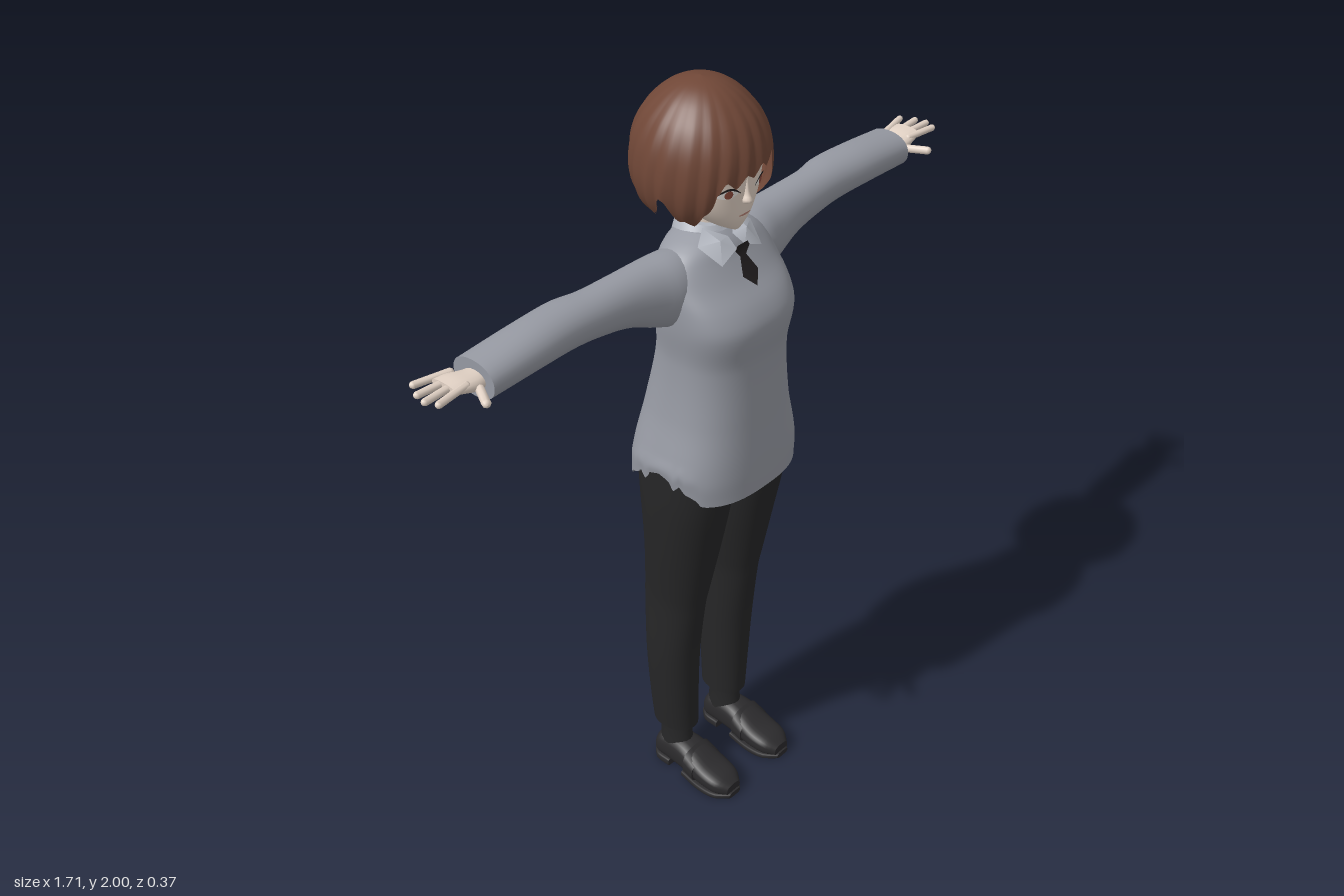
import * as THREE from 'three';

const mat = (name, color, side = THREE.FrontSide) =>
  Object.assign(new THREE.MeshStandardMaterial({ color, side }), { name });

// Smooth interpolation through rows of [key, ...values] with rising keys
function sampler(rows) {
  const slope = (i, c) => {
    const a = rows[Math.max(i - 1, 0)], b = rows[Math.min(i + 1, rows.length - 1)];
    return (b[c] - a[c]) / (b[0] - a[0]);
  };
  return k => {
    let i = 0;
    while (i < rows.length - 2 && k > rows[i + 1][0]) i++;
    const p = rows[i], q = rows[i + 1], h = q[0] - p[0];
    const t = Math.min(1, Math.max(0, (k - p[0]) / h)), t2 = t * t, t3 = t2 * t;
    return p.slice(1).map((v, n) => v * (2 * t3 - 3 * t2 + 1) + q[n + 1] * (3 * t2 - 2 * t3)
      + h * (slope(i, n + 1) * (t3 - 2 * t2 + t) + slope(i + 1, n + 1) * (t3 - t2)));
  };
}

// Indexed surface from fn(row, column) -> [x, y, z]
function grid(rows, cols, fn, closed = true) {
  const pos = [], index = [], span = closed ? cols : cols - 1;
  for (let i = 0; i < rows; i++) for (let j = 0; j < cols; j++) pos.push(...fn(i, j));
  for (let i = 0; i < rows - 1; i++) for (let j = 0; j < span; j++) {
    const a = i * cols + j, c = i * cols + (j + 1) % cols;
    index.push(a, a + cols, c, c, a + cols, c + cols);
  }
  const g = new THREE.BufferGeometry();
  g.setAttribute('position', new THREE.Float32BufferAttribute(pos, 3));
  g.setIndex(index);
  g.computeVertexNormals();
  return g;
}

const place = { y: (k, a, b) => [a, k, b], x: (k, a, b) => [k, b, a], z: (k, a, b) => [b, a, k] };
const power = (v, n) => Math.sign(v) * Math.abs(v) ** (2 / n);

// Capped tube of rounded sections; rows are [key, aMin, aMax, bMin, bMax, roundness]
function loft(axis, rows, steps = 24, cols = 32, move = p => p) {
  const s = sampler(rows), k0 = rows[0][0], k1 = rows[rows.length - 1][0];
  const keys = [k0, k0];
  for (let i = 0; i <= steps; i++) keys.push(k0 + (k1 - k0) * i / steps);
  keys.push(k1, k1);
  return grid(keys.length, cols, (i, j) => {
    const [a0, a1, b0, b1, n] = s(keys[i]), w = j / cols * Math.PI * 2;
    const r = i === 0 || i === keys.length - 1 ? 0 : 0.5;
    return move(place[axis](keys[i], (a0 + a1) / 2 + r * (a1 - a0) * power(Math.cos(w), n),
      (b0 + b1) / 2 + r * (b1 - b0) * power(Math.sin(w), n)));
  });
}

// Front surface depth of an upright loft
function frontZ(s, x, y) {
  const [a0, a1, b0, b1, n] = s(y);
  const u = Math.min(1, Math.abs((x - (a0 + a1) / 2) / ((a1 - a0) / 2)));
  return (b0 + b1) / 2 + (b1 - b0) / 2 * (1 - u ** n) ** (1 / n);
}

function mirrored(geometry) {
  const g = geometry.clone().scale(-1, 1, 1), id = g.index.array;
  for (let i = 0; i < id.length; i += 3) [id[i], id[i + 1]] = [id[i + 1], id[i]];
  g.computeVertexNormals();
  return g;
}

const headRows = [
  [1.663, -.012, .012, .05, .09, 2], [1.675, -.034, .034, .015, .098, 2], [1.7, -.066, .066, -.03, .107, 2.1],
  [1.74, -.094, .094, -.06, .112, 2.2], [1.79, -.108, .108, -.08, .116, 2.3], [1.86, -.115, .115, -.1, .12, 2.2],
  [1.92, -.1, .1, -.1, .085, 2], [1.965, -.05, .05, -.06, .03, 2]];
const torsoRows = [
  [1.0, -.197, .197, -.152, .187, 2.7], [1.06, -.2, .2, -.145, .186, 2.7], [1.2, -.168, .168, -.12, .18, 2.6],
  [1.35, -.155, .155, -.09, .178, 2.5], [1.45, -.166, .166, -.08, .188, 2.6], [1.5, -.168, .168, -.076, .168, 2.5],
  [1.55, -.166, .166, -.074, .126, 2.4], [1.6, -.152, .152, -.072, .092, 2.3], [1.63, -.115, .115, -.07, .076, 2.2],
  [1.65, -.065, .065, -.062, .055, 2]];

export function createModel() {
  const skin = mat('skin', 0xe3d3c6), wool = mat('grey wool', 0x9699a2), cloth = mat('black cloth', 0x262627);
  const leather = mat('shoe leather', 0x2b2a2c), shirt = mat('shirt', 0xb0b4bd, THREE.DoubleSide);
  const hair = mat('brown hair', 0x704737, THREE.DoubleSide), white = mat('eye white', 0xf2eeea, THREE.DoubleSide);
  const iris = mat('iris', 0x8a4a3c, THREE.DoubleSide), dark = mat('lash and tie', 0x211d1e, THREE.DoubleSide);
  const lip = mat('lip', 0xb98578, THREE.DoubleSide);

  const model = new THREE.Group();
  const add = (name, g, m) => {
    const mesh = new THREE.Mesh(g, m);
    mesh.name = name;
    model.add(mesh);
  };
  const pair = (name, g, m) => { add('left ' + name, g, m); add('right ' + name, mirrored(g), m); };

  // Sweater body with a ragged hem raised at the sides
  add('sweater body', loft('y', torsoRows, 56, 72, ([x, y, z]) => {
    const low = Math.max(0, 1 - (y - 1) / .1), side = THREE.MathUtils.smoothstep(Math.abs(x), .165, .195);
    const tooth = .012 * Math.sin(z * 190 + x * 9);
    return [x, y + low * (side * (.04 + tooth) - .012 * (z < -.02 ? 1 : .5)), z];
  }), wool);
  pair('sleeve', loft('x', [
    [.08, -.06, .06, 1.48, 1.622, 2], [.14, -.073, .074, 1.448, 1.628, 2.1], [.2, -.073, .062, 1.462, 1.627, 2.1],
    [.28, -.066, .05, 1.497, 1.627, 2.1], [.38, -.065, .045, 1.518, 1.628, 2.1], [.45, -.077, .044, 1.523, 1.631, 2.1],
    [.56, -.076, .048, 1.526, 1.628, 2.1], [.705, -.08, .045, 1.522, 1.611, 2.2]], 36, 28), wool);

  // Hands
  pair('palm', loft('x', [
    [.69, -.045, .015, 1.548, 1.588, 2], [.72, -.048, .022, 1.55, 1.59, 2.2], [.755, -.056, .022, 1.562, 1.594, 2.4],
    [.785, -.055, .018, 1.572, 1.594, 2.4]], 10, 16), skin);
  [[-.052, -.07, .83], [-.03, -.036, .848], [-.009, -.006, .854], [.011, .022, .842]].forEach(([z0, z1, x1], i) => {
    const f = new THREE.CapsuleGeometry(.0085, .085, 4, 8).rotateZ(-Math.PI / 2).rotateY(-Math.atan2(z1 - z0, .08));
    pair('finger ' + (i + 1), f.translate(x1 - .05, 1.584, (z0 + z1) / 2), skin);
  });
  pair('thumb', new THREE.CapsuleGeometry(.0105, .055, 4, 8).rotateX(Math.PI / 2).rotateY(.5)
    .translate(.738, 1.567, .046), skin);

  // Trousers, socks and shoes
  pair('trouser leg', loft('y', [
    [.155, .048, .146, -.092, .036, 2.2], [.25, .046, .155, -.097, .038, 2.2], [.42, .043, .166, -.102, .046, 2.2],
    [.6, .04, .166, -.105, .068, 2.2], [.65, .034, .17, -.102, .078, 2.2], [.8, .014, .186, -.096, .108, 2.2],
    [.95, .003, .197, -.1, .136, 2.3], [1.06, -.004, .199, -.105, .145, 2.4]], 40, 32), cloth);
  pair('sock', loft('y', [[.06, .058, .138, -.075, .03, 2], [.11, .062, .134, -.072, .022, 2],
    [.2, .062, .134, -.072, .015, 2]], 8, 20), cloth);
  const shoeRows = [
    [-.084, .012, .06, .078, .118, 2.5], [-.07, .012, .088, .063, .135, 2.6], [-.03, .012, .1, .058, .14, 2.6],
    [.02, .012, .102, .054, .145, 2.6], [.06, .012, .09, .05, .15, 2.6], [.11, .01, .068, .048, .152, 2.8],
    [.155, .008, .055, .055, .146, 2.8], [.182, .008, .04, .074, .126, 2.5]];
  pair('shoe', loft('z', shoeRows, 26, 28), leather);
  pair('shoe strap', loft('z', shoeRows.slice(4, 6).map(([z, a, b, c, d, n]) =>
    [.045 + (z - .06) * .7, a, b + .008, c - .004, d + .004, n]), 3, 28), leather);
  pair('shoe sole', loft('z', [[.03, 0, .016, .055, .144, 6], [.1, 0, .016, .045, .155, 6],
    [.155, 0, .016, .052, .149, 5], [.187, 0, .016, .078, .122, 3]], 10, 24), leather);
  pair('shoe heel', loft('z', [[-.088, 0, .022, .078, .118, 4], [-.065, 0, .022, .06, .138, 6],
    [-.02, 0, .022, .057, .141, 6]], 6, 20), leather);

  // Neck, head, nose and ears
  add('neck', loft('y', [[1.6, -.05, .05, -.062, .035, 2], [1.66, -.042, .042, -.058, .03, 2],
    [1.73, -.045, .045, -.06, .03, 2]], 8, 24), skin);
  add('head', loft('y', headRows, 48, 48), skin);
  add('nose', loft('y', [[1.735, -.004, .004, .1, .117, 2], [1.743, -.012, .012, .1, .13, 2],
    [1.76, -.007, .007, .1, .123, 2], [1.8, -.004, .004, .1, .117, 2]], 10, 12), skin);
  pair('ear', new THREE.SphereGeometry(1, 12, 10).scale(.016, .032, .022).translate(.122, 1.765, -.005), skin);

  // Facial details laid on the head as thin patches
  const face = sampler(headRows);
  const patch = (x0, x1, bottom, top, off) => grid(13, 3, (i, j) => {
    const u = i / 12, x = x0 + (x1 - x0) * u, y = bottom(u) + (top(u) - bottom(u)) * j / 2;
    return [x, y, frontZ(face, x, y) + off];
  }, false);
  const arc = u => Math.sin(Math.PI * u), dome = u => Math.sqrt(Math.max(0, u * (1 - u))) * 2;
  pair('eye', patch(.026, .08, u => 1.772 - .009 * arc(u), u => 1.772 + .014 * arc(u), .002), white);
  pair('iris', patch(.043, .063, u => 1.774 - .01 * dome(u), u => 1.774 + .01 * dome(u), .004), iris);
  pair('lash', patch(.024, .084, u => 1.771 + .014 * arc(u), u => 1.773 + .018 * arc(u), .005), dark);
  pair('brow', patch(.02, .085, u => 1.8 + .01 * arc(u), u => 1.801 + .014 * arc(u), .003), hair);
  add('mouth', patch(-.02, .02, u => 1.709 - .003 * arc(u), u => 1.71 + .002 * arc(u), .003), lip);

  // Bobbed hair: one shell whose lower edge follows the fringe, side locks and nape
  const radius = sampler([[1.66, .092], [1.69, .115], [1.72, .138], [1.76, .153], [1.81, .158], [1.87, .15],
    [1.92, .128], [1.96, .094], [1.982, .064], [1.994, .034], [2, 0]]);
  const edge = sampler([[0, 1.822], [18, 1.818], [33, 1.812], [42, 1.745], [54, 1.705], [70, 1.708], [80, 1.75],
    [89, 1.755], [97, 1.71], [120, 1.69], [180, 1.672]]);
  const tri = v => Math.abs(((v % 1) + 1) % 1 - .5) * 4 - 1;
  add('hair', grid(36, 180, (i, j) => {
    const t = i / 35, deg = j * 2, fold = deg > 180 ? 360 - deg : deg;
    const lock = tri(deg / 18 + .6 * t * t);
    const bottom = edge(fold)[0] + .012 * tri(deg / 18 + .6) + (fold < 36 ? .014 * Math.sin(deg / 57.3 * 3) : 0);
    const y = 2 - (2 - bottom) * t ** 1.6;
    const r = radius(y)[0] * (1 + .02 * t * lock), w = deg / 180 * Math.PI;
    return [r * Math.sin(w), y, r * 1.03 * Math.cos(w) - .02];
  }), hair);

  // Shirt collar, higher at the nape, with two front points
  add('collar', loft('y', [[1.605, -.09, .09, -.085, .095, 2], [1.64, -.074, .074, -.078, .066, 2],
    [1.672, -.055, .055, -.07, .042, 2]], 8, 32, ([x, y, z]) => [x, y - .2 * (z + .02), z]), shirt);
  const flap = [[.008, 1.64, .068], [.014, 1.622, .1], [.068, 1.6, .104], [.09, 1.638, .05], [.052, 1.664, .03]];
  pair('collar point', grid(2, 5, (i, j) => i ? flap[j] : [.045, 1.645, .078]), shirt);

  // Necktie resting on the chest
  const chest = sampler(torsoRows);
  const tie = [[-.017, 1.632], [.017, 1.632], [.024, 1.62], [.01, 1.602], [.026, 1.566], [0, 1.54], [-.026, 1.566],
    [-.01, 1.602], [-.024, 1.62]];
  const tieShape = new THREE.ShapeGeometry(new THREE.Shape(tie.map(([x, y]) => new THREE.Vector2(x, y))));
  const p = tieShape.attributes.position;
  for (let i = 0; i < p.count; i++) p.setZ(i, frontZ(chest, p.getX(i), Math.min(p.getY(i), 1.605)) + .016);
  tieShape.computeVertexNormals();
  add('necktie', tieShape, dark);

  return model;
}
